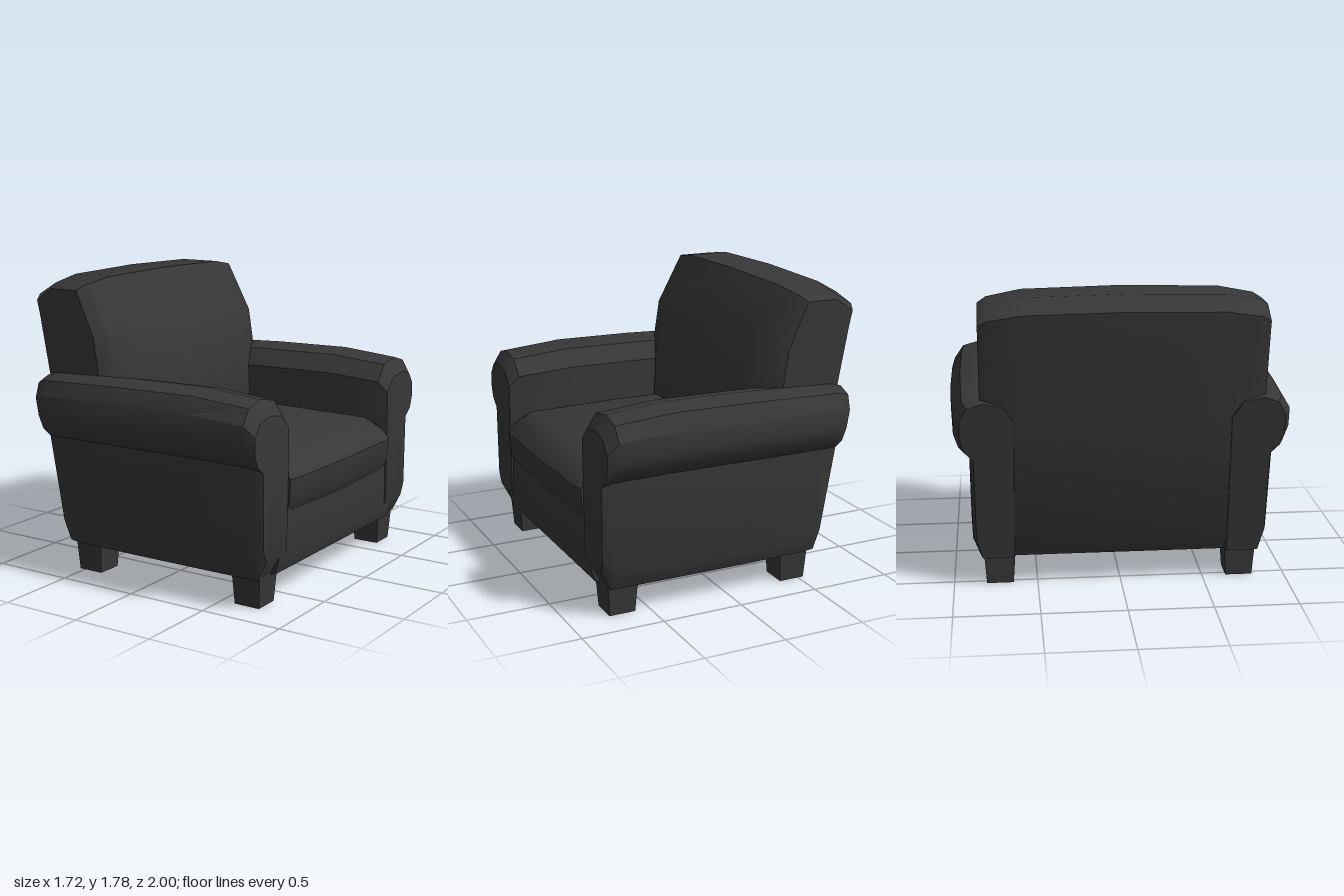
import * as THREE from 'three';
import { toCreasedNormals } from 'three/addons/utils/BufferGeometryUtils.js';

// Skin a list of equal-length rings of [x, y, z] points and cap both ends.
function loft(rings, crease = 0.6) {
  const n = rings[0].length;
  const pts = rings.flat();
  let tris = [];
  for (let r = 0; r < rings.length - 1; r++) {
    for (let i = 0; i < n; i++) {
      const j = (i + 1) % n;
      const a = r * n + i, b = r * n + j, c = a + n, d = b + n;
      tris.push([a, b, d], [a, d, c]);
    }
  }
  [0, rings.length - 1].forEach((r) => {
    const centre = [0, 1, 2].map((k) => rings[r].reduce((s, p) => s + p[k], 0) / n);
    const c = pts.push(centre) - 1;
    for (let i = 0; i < n; i++) {
      const a = r * n + i, b = r * n + (i + 1) % n;
      tris.push(r ? [a, b, c] : [b, a, c]);
    }
  });
  // turn the faces outward
  const v = pts.map((p) => new THREE.Vector3(...p));
  const volume = tris.reduce((s, [a, b, c]) => s + v[a].dot(v[b].clone().cross(v[c])), 0);
  if (volume < 0) tris = tris.map(([a, b, c]) => [a, c, b]);
  const geo = new THREE.BufferGeometry();
  geo.setAttribute('position', new THREE.Float32BufferAttribute(pts.flat(), 3));
  geo.setIndex(tris.flat());
  return toCreasedNormals(geo, crease);
}

// Reclining line of the chair's rear face
const rearX = (y) => -0.61 - (y - 0.26) * 0.172;

// Rolled arm: cross-section [z, y], swept from the rear to the front
const armProfile = [
  [0.6, 0.18], [0.85, 0.18], [0.895, 0.27], [0.9, 0.84], [0.97, 0.9], [1.0, 0.99], [1.0, 1.11],
  [0.94, 1.2], [0.82, 1.235], [0.67, 1.205], [0.585, 1.1], [0.59, 0.84],
];
function armGeometry(side) {
  // x (or offset from the rear line), height scale, width scale
  const stations = [
    { rear: 0.01, sy: 0.9, sz: 0.75 },
    { rear: 0.09, sy: 0.95, sz: 0.9 },
    { x: -0.1, sy: 0.99, sz: 1 },
    { x: 0.4, sy: 1, sz: 1 },
    { x: 0.76, sy: 0.94, sz: 0.97 },
    { x: 0.82, sy: 0.78, sz: 0.86 },
  ];
  return loft(stations.map(({ x, rear, sy, sz }) => armProfile.map(([z, y]) => {
    const h = y < 0.2 && sy > 0.85 ? y : 0.7 + (y - 0.7) * sy;
    return [x ?? rearX(h) + rear, h, side * (0.75 + (z - 0.75) * sz)];
  })));
}

// Backrest: side profile [x, y, 1 = front / -1 = rear], softened towards the ends
const backProfile = [
  [-0.55, 0.18, -1], [-0.61, 0.26, -1], [-0.745, 1.05, -1], [-0.84, 1.55, -1], [-0.86, 1.71, -1],
  [-0.72, 1.785, -0.5], [-0.44, 1.785, 0.4], [-0.215, 1.44, 1], [-0.175, 1.18, 1], [-0.16, 0.8, 1],
  [-0.4, 0.25, 0],
];
function backGeometry() {
  const stations = [[-0.82, 1], [-0.77, 0.6], [-0.57, 0.15], [0, 0], [0.57, 0.15], [0.77, 0.6], [0.82, 1]];
  return loft(stations.map(([z, k]) => backProfile.map(([x, y, f]) => [
    x - (f > 0 ? 0.17 : 0.05) * f * k,
    y > 1.6 ? y - 0.075 * k : y,
    z,
  ])));
}

// Seat cushion: side profile [x, y] with a bulging front edge
const cushionProfile = [
  [-0.35, 0.5], [0.81, 0.51], [0.85, 0.57], [0.86, 0.72], [0.8, 0.81], [0.7, 0.86], [0.1, 0.87], [-0.35, 0.87],
];
function cushionGeometry() {
  const stations = [[-0.61, 1], [-0.55, 0.4], [0, 0], [0.55, 0.4], [0.61, 1]];
  return loft(stations.map(([z, k]) => cushionProfile.map(([x, y]) => [
    x > 0.5 ? x - 0.025 * k : x,
    y > 0.8 ? y - 0.03 * k : y,
    z,
  ])));
}

// Base: side profile [x, y]
const baseProfile = [[-0.55, 0.18], [0.79, 0.18], [0.812, 0.25], [0.808, 0.54], [-0.6, 0.54], [-0.58, 0.26]];

export function createModel() {
  const group = new THREE.Group();
  const charcoal = new THREE.MeshStandardMaterial({ color: 0x373737 });
  charcoal.name = 'charcoal';

  const add = (name, geometry) => {
    const mesh = new THREE.Mesh(geometry, charcoal);
    mesh.name = name;
    group.add(mesh);
    return mesh;
  };

  add('base', loft([-0.7, 0.7].map((z) => baseProfile.map(([x, y]) => [x, y, z]))));
  add('backrest', backGeometry());
  add('seatCushion', cushionGeometry());
  add('leftArm', armGeometry(1));
  add('rightArm', armGeometry(-1));

  // Tapered square feet
  const footGeo = new THREE.CylinderGeometry(0.095 * Math.SQRT2, 0.08 * Math.SQRT2, 0.22, 4, 1)
    .rotateY(Math.PI / 4).translate(0, 0.11, 0);
  const foot = toCreasedNormals(footGeo, 0.5);
  for (const [end, x] of [['front', 0.67], ['rear', -0.455]]) {
    for (const side of [1, -1]) {
      add(`${end}${side > 0 ? 'Left' : 'Right'}Foot`, foot).position.set(x, 0, side * 0.725);
    }
  }
  return group;
}
